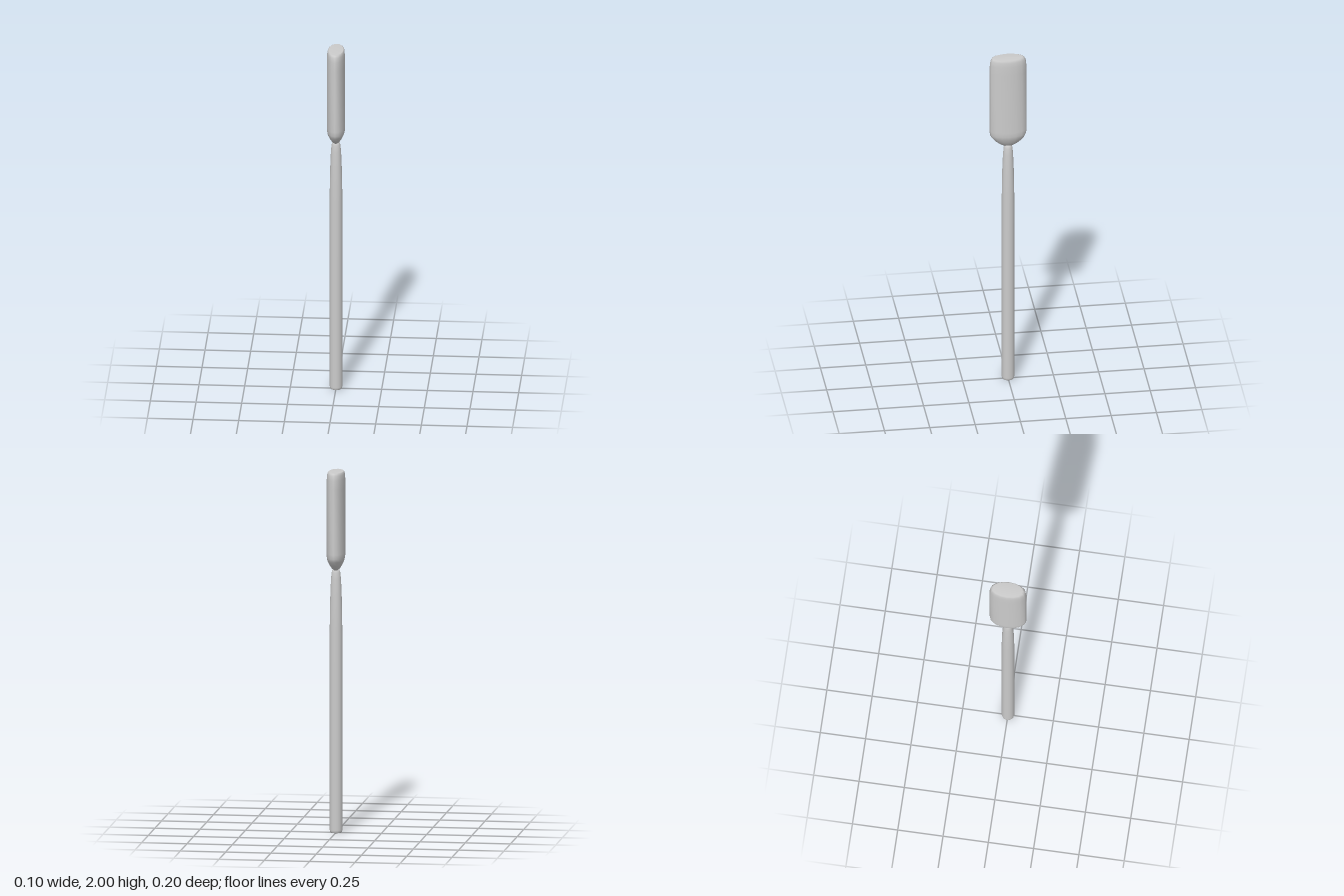
import * as THREE from 'three';

const material = new THREE.MeshStandardMaterial({ color: 0xcccccc });

// Turned part from [radius, height] pairs, listed bottom to top
function turned(name, profile, sides) {
  const points = profile.map(([r, y]) => new THREE.Vector2(r, y));
  const mesh = new THREE.Mesh(new THREE.LatheGeometry(points, sides), material);
  mesh.name = name;
  return mesh;
}

export function createModel() {
  const model = new THREE.Group();
  model.name = 'paddle';

  // Round handle, tapering into a narrow neck
  model.add(turned('handle', [
    [0, 0], [0.029, 0], [0.033, 0.004], [0.035, 0.015], [0.035, 1.1], [0.034, 1.2],
    [0.032, 1.3], [0.028, 1.4], [0.024, 1.44], [0.018, 1.46], [0, 1.465],
  ], 16));

  // Flattened head with an oval cross-section and softened ends
  const head = turned('head', [
    [0, 1.45], [0.22, 1.452], [0.45, 1.464], [0.7, 1.484], [0.9, 1.507], [0.98, 1.525],
    [1, 1.55], [1, 1.91], [0.985, 1.96], [0.95, 1.985], [0.88, 1.997], [0.8, 2], [0, 2],
  ], 16);
  head.geometry.scale(0.05, 1, 0.102);
  head.geometry.computeVertexNormals();

  // Average the normals across the lathe seam
  const normals = head.geometry.attributes.normal;
  const rows = normals.count / 17;
  for (let i = 0; i < rows; i++) {
    const j = normals.count - rows + i;
    const n = new THREE.Vector3().fromBufferAttribute(normals, i)
      .add(new THREE.Vector3().fromBufferAttribute(normals, j)).normalize();
    if (i === 0) n.set(0, -1, 0);
    if (i === rows - 1) n.set(0, 1, 0);
    normals.setXYZ(i, n.x, n.y, n.z);
    normals.setXYZ(j, n.x, n.y, n.z);
  }
  model.add(head);

  return model;
}
